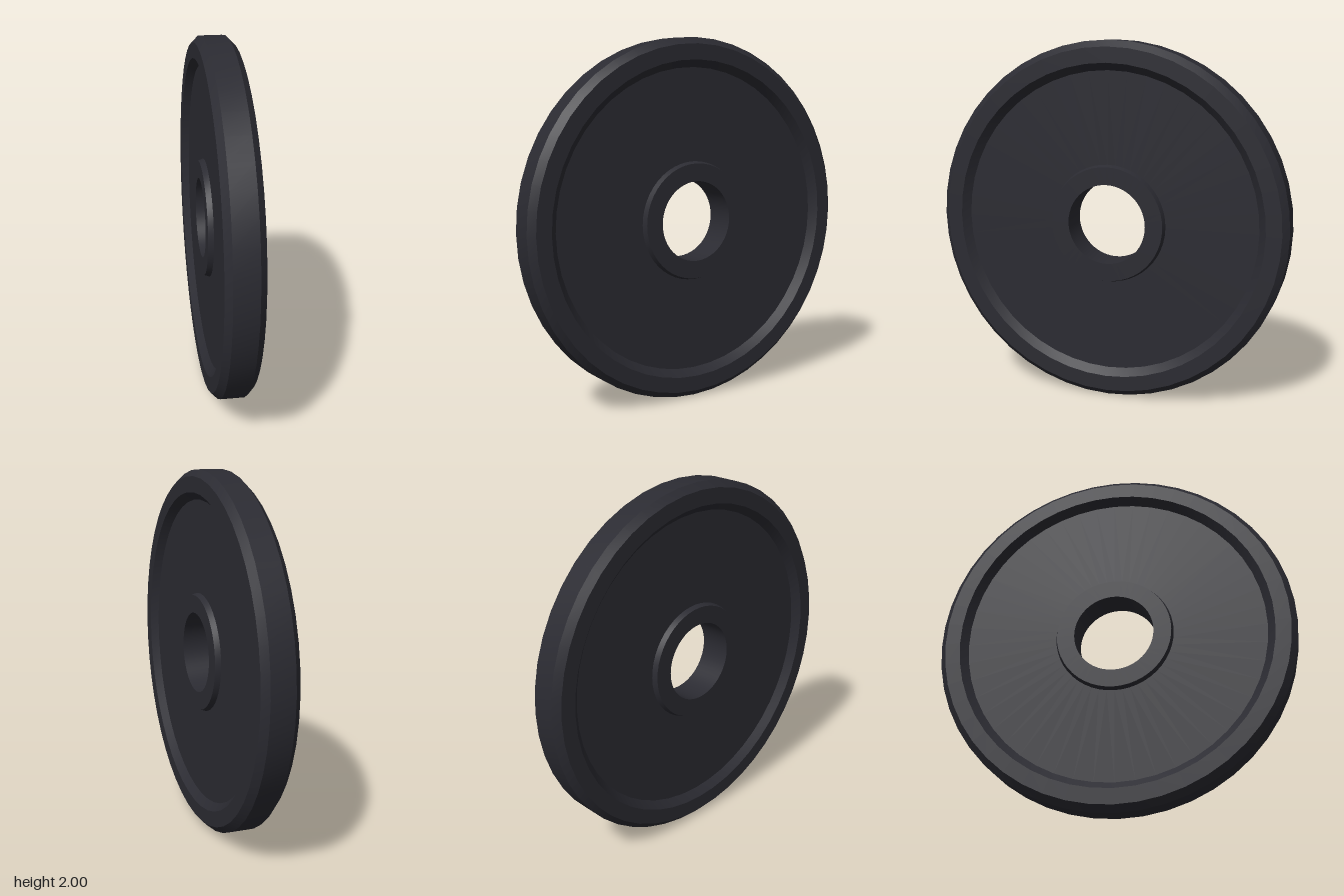
import * as THREE from 'three';
import { toCreasedNormals } from 'three/addons/utils/BufferGeometryUtils.js';

const SEGMENTS = 48;

// Closed ring turned around the x axis; points are [radius, x], running outward up the +x side
function turnedPart(name, points, material) {
  const lathe = new THREE.LatheGeometry(points.map(([r, x]) => new THREE.Vector2(r, x)), SEGMENTS);
  const geometry = toCreasedNormals(lathe, 0.4);
  geometry.rotateZ(-Math.PI / 2);
  const mesh = new THREE.Mesh(geometry, material);
  mesh.name = name;
  mesh.position.y = 1;
  return mesh;
}

// Mirrors a half profile (given from inner to outer on the +x side) to the -x side
function mirrored(half) {
  const back = half.map(([r, x]) => [r, -x]);
  return [...back, ...half.slice().reverse()];
}

export function createModel() {
  const group = new THREE.Group();
  group.name = 'weightPlate';
  const rubber = new THREE.MeshStandardMaterial({ color: 0x2b2b32 });
  rubber.name = 'dark rubber';

  // Raised rim with chamfered tread and sloped inner wall
  group.add(turnedPart('rim', mirrored([
    [0.84, 0.06], [0.88, 0.1], [0.965, 0.1], [1, 0.065],
  ]), rubber));

  // Recessed web on both sides
  const half = [[0.33, 0.06], [0.84, 0.06]];
  group.add(turnedPart('webLeft', half.slice().reverse(), rubber));
  group.add(turnedPart('webRight', half.map(([r, x]) => [r, -x]), rubber));

  // Hub collar around the centre bore
  const hub = mirrored([[0.222, 0.09], [0.32, 0.09], [0.33, 0.06]]);
  const collar = [[0.222, -0.09], [0.32, -0.09], [0.33, -0.06]];
  group.add(turnedPart('hubRight', collar, rubber));
  group.add(turnedPart('hubLeft', hub.slice(3), rubber));
  group.add(turnedPart('bore', [[0.222, 0.09], [0.222, -0.09]], rubber));
  return group;
}
